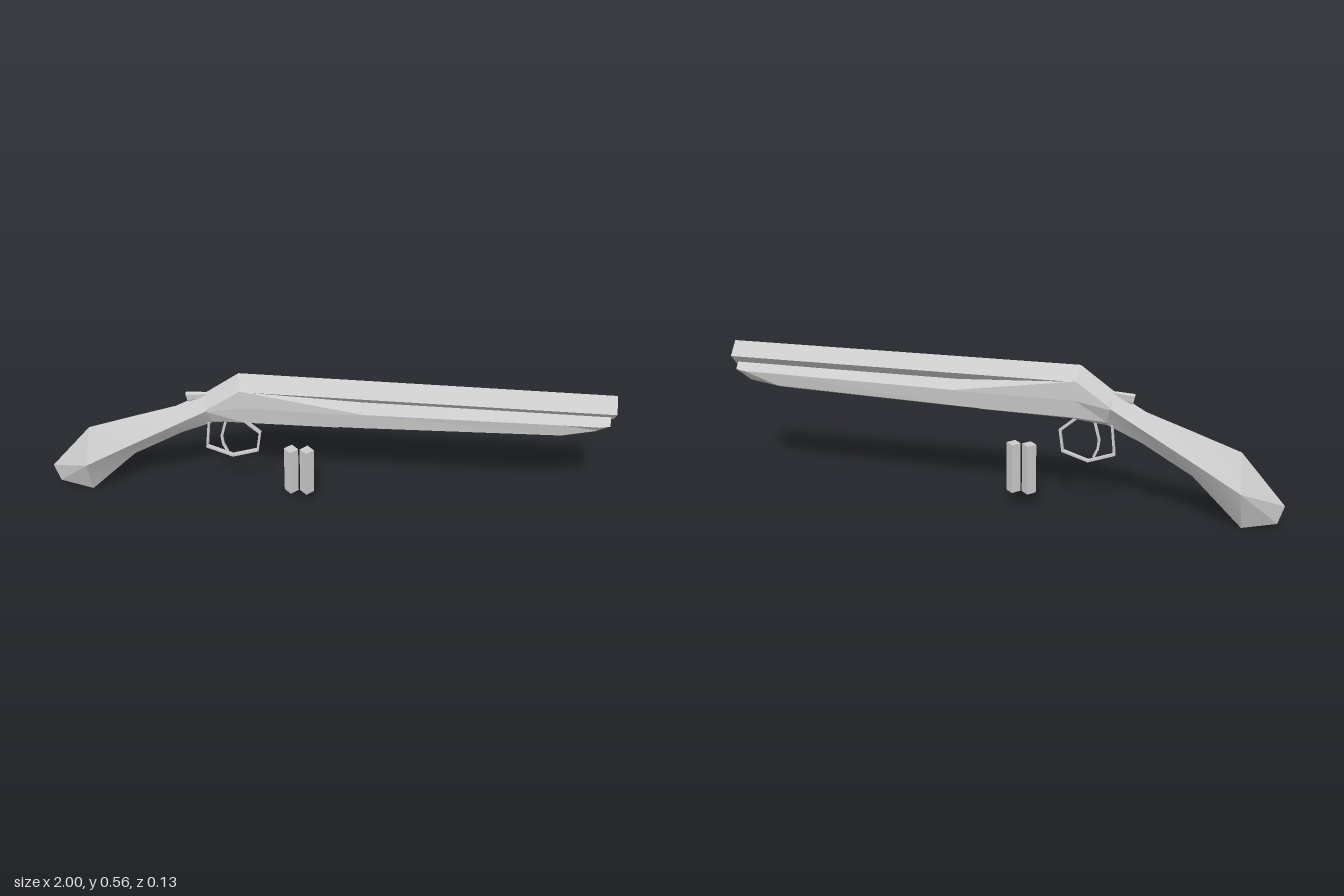
import * as THREE from 'three';
import { toCreasedNormals } from 'three/addons/utils/BufferGeometryUtils.js';
import { ConvexGeometry } from 'three/addons/geometries/ConvexGeometry.js';

const flat = new THREE.MeshStandardMaterial({ color: 0xcccccc, flatShading: true });
const smooth = new THREE.MeshStandardMaterial({ color: 0xcccccc });

// Skin closed rings along x. Each section is the +z half [x, y, z] from top
// to bottom; it is mirrored to -z to close the ring.
function loft(sections) {
  const rings = sections.map((half) => [
    ...half,
    ...half.slice(1, -1).reverse().map(([x, y, z]) => [x, y, -z]),
  ]);
  const n = rings[0].length;
  const out = [];
  const tri = (a, b, c) => out.push(...a, ...b, ...c);
  for (let i = 0; i < rings.length - 1; i++) {
    for (let j = 0; j < n; j++) {
      const k = (j + 1) % n;
      tri(rings[i][j], rings[i][k], rings[i + 1][k]);
      tri(rings[i][j], rings[i + 1][k], rings[i + 1][j]);
    }
  }
  const first = rings[0];
  const last = rings[rings.length - 1];
  for (let j = 1; j < n - 1; j++) {
    tri(first[0], first[j + 1], first[j]);
    tri(last[0], last[j], last[j + 1]);
  }
  const geo = new THREE.BufferGeometry();
  geo.setAttribute('position', new THREE.Float32BufferAttribute(out, 3));
  geo.computeVertexNormals();
  return geo;
}

// Thin square bar following straight segments in the xy plane
function bar(points, inPlane, depth) {
  const group = new THREE.Group();
  for (let i = 0; i < points.length - 1; i++) {
    const [x0, y0] = points[i];
    const [x1, y1] = points[i + 1];
    const length = Math.hypot(x1 - x0, y1 - y0);
    const mesh = new THREE.Mesh(new THREE.BoxGeometry(length + inPlane * 0.5, inPlane, depth), flat);
    mesh.position.set((x0 + x1) / 2, (y0 + y1) / 2, 0);
    mesh.rotation.z = Math.atan2(y1 - y0, x1 - x0);
    group.add(mesh);
  }
  return group;
}

export function createModel() {
  const model = new THREE.Group();
  const add = (name, object) => {
    object.name = name;
    model.add(object);
    return object;
  };
  const part = (name, geo, mat = flat) => add(name, new THREE.Mesh(geo, mat));

  // Diamond-section upper barrel
  part('upperBarrel', loft([
    [[-0.28, 0.555, 0], [-0.28, 0.507, 0.045], [-0.28, 0.46, 0]],
    [[1, 0.552, 0], [1, 0.505, 0.045], [1, 0.458, 0]],
  ]));

  // Lower barrel and fore-end, tapering up at the muzzle
  const foreEnd = (x, side, low, lowZ, bottom) =>
    [[x, 0.49, 0], [x, side, 0.045], [x, low, lowZ], [x, bottom, 0]];
  part('foreEnd', loft([
    foreEnd(-0.25, 0.44, 0.375, 0.037, 0.358),
    foreEnd(0.15, 0.443, 0.382, 0.037, 0.366),
    foreEnd(0.83, 0.45, 0.402, 0.036, 0.385),
    foreEnd(0.95, 0.45, 0.425, 0.026, 0.403),
    [[0.99, 0.49, 0], [0.985, 0.455, 0.043], [0.982, 0.445, 0.03], [0.978, 0.425, 0]],
  ]));

  // Receiver with side plates that run forward to a point
  part('receiver', loft([
    [[-0.4, 0.467, 0], [-0.39, 0.425, 0.045], [-0.39, 0.415, 0.045], [-0.38, 0.36, 0.02], [-0.38, 0.342, 0]],
    [[-0.28, 0.555, 0], [-0.27, 0.51, 0.046], [-0.27, 0.44, 0.046], [-0.26, 0.375, 0.038], [-0.25, 0.357, 0]],
    [[0.15, 0.488, 0], [0.15, 0.445, 0.046], [0.15, 0.44, 0.046], [0.07, 0.379, 0.038], [0.07, 0.363, 0]],
  ]));

  // Curved grip with a ridge along each side
  part('grip', toCreasedNormals(loft([
    [[-0.84, 0.285, 0], [-0.85, 0.155, 0.063], [-0.86, 0, 0]],
    [[-0.68, 0.343, 0], [-0.68, 0.254, 0.056], [-0.68, 0.18, 0]],
    [[-0.51, 0.403, 0], [-0.5, 0.357, 0.049], [-0.5, 0.287, 0]],
    [[-0.4, 0.467, 0], [-0.39, 0.42, 0.045], [-0.38, 0.342, 0]],
  ]), 0.6), smooth);

  // Faceted butt
  part('butt', new ConvexGeometry([
    [-0.84, 0.285, 0], [-0.85, 0.155, 0.063], [-0.85, 0.155, -0.063],
    [-1, 0.1, 0], [-0.98, 0.03, 0], [-0.86, 0, 0],
  ].map((p) => new THREE.Vector3(...p))));

  // Opening lever behind the receiver
  part('topLever', loft([
    [[-0.47, 0.465, 0], [-0.47, 0.46, 0.01], [-0.465, 0.435, 0.008], [-0.455, 0.42, 0]],
    [[-0.39, 0.47, 0], [-0.39, 0.465, 0.006], [-0.39, 0.45, 0.006], [-0.39, 0.44, 0]],
  ]));

  // Angular trigger guard and trigger
  add('triggerGuard', bar([
    [-0.395, 0.345], [-0.407, 0.235], [-0.315, 0.202], [-0.224, 0.232], [-0.213, 0.31], [-0.27, 0.36],
  ], 0.008, 0.014));
  add('trigger', bar([[-0.335, 0.35], [-0.352, 0.285], [-0.348, 0.25], [-0.335, 0.22]], 0.009, 0.008));

  // Two loose cartridges
  for (const x of [-0.103, -0.046]) {
    const shell = part('cartridge', new THREE.CylinderGeometry(0.026, 0.026, 0.187, 4));
    shell.position.set(x, 0.1515, 0);
  }

  return model;
}
